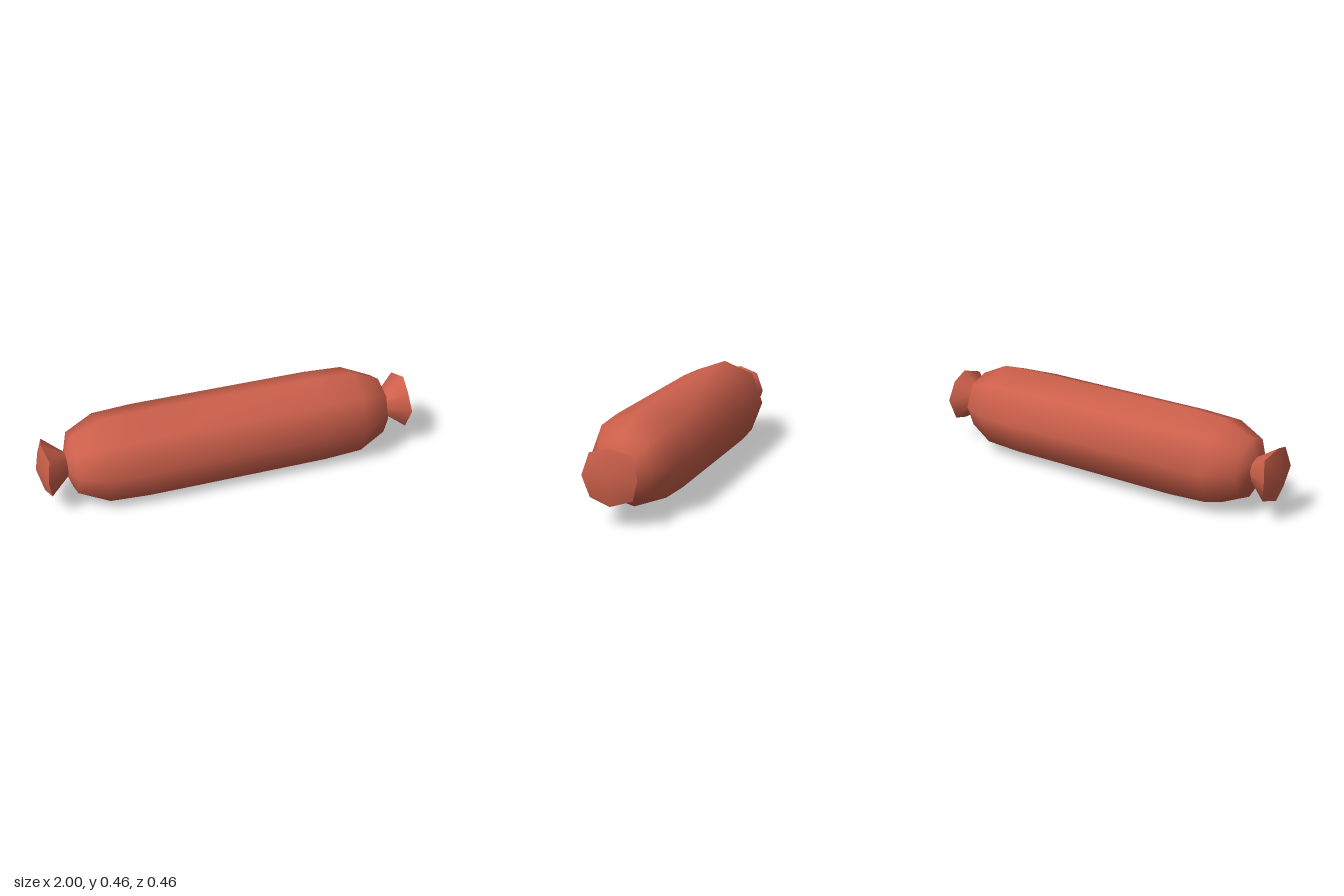
import * as THREE from 'three';
import { mergeVertices } from 'three/addons/utils/BufferGeometryUtils.js';

const SIDES = 8;

// Smooth skin over eight-sided rings listed by rising x.
// Ring: [x, radius, x of diagonal corners, radius of diagonal corners]
function loft(rings) {
  const pos = [], index = [];
  for (const [x, r, xd = x, rd = r] of rings) {
    for (let j = 0; j < SIDES; j++) {
      const a = (j / SIDES) * Math.PI * 2;
      const radius = j % 2 ? rd : r;
      pos.push(j % 2 ? xd : x, radius * Math.cos(a), radius * Math.sin(a));
    }
  }
  for (let i = 0; i < rings.length - 1; i++) {
    for (let j = 0; j < SIDES; j++) {
      const k = (j + 1) % SIDES;
      const a = i * SIDES + j, b = i * SIDES + k, c = a + SIDES, d = b + SIDES;
      index.push(a, b, c, b, d, c);
    }
  }
  const geo = new THREE.BufferGeometry();
  geo.setAttribute('position', new THREE.Float32BufferAttribute(pos, 3));
  geo.setIndex(index);
  const merged = mergeVertices(geo, 1e-5);
  merged.computeVertexNormals();
  return merged;
}

export function createModel() {
  const model = new THREE.Group();
  model.name = 'sausage';
  const skin = new THREE.MeshStandardMaterial({ color: 0xcd604b });
  skin.name = 'sausage red';

  const add = (parent, name, geo) => {
    const mesh = new THREE.Mesh(geo, skin);
    mesh.name = name;
    parent.add(mesh);
  };

  // Long casing with rounded shoulders, mirrored about the middle
  const half = [
    [0.47, 0.228, 0.47, 0.236],
    [0.672, 0.22, 0.672, 0.226],
    [0.82, 0.152, 0.82, 0.156],
    [0.852, 0.06],
  ];
  const mirrored = half.map(([x, r, xd = x, rd = r]) => [-x, r, -xd, rd]).reverse();
  add(model, 'casing', loft([...mirrored, ...half]));

  // Pinched, flared tail on each end with a shallow pointed cap
  const rim = [0.965, 0.135, 0.947, 0.147];
  const flare = loft([[0.845, 0.058], rim]);
  const cap = loft([rim, [1, 0]]);
  for (const side of ['left', 'right']) {
    const tail = new THREE.Group();
    tail.name = side + 'Tail';
    add(tail, side + 'TailFlare', flare);
    add(tail, side + 'TailCap', cap);
    if (side === 'right') tail.rotation.y = Math.PI;
    model.add(tail);
  }

  model.children.forEach((part) => { part.position.y = 0.23; });
  return model;
}
